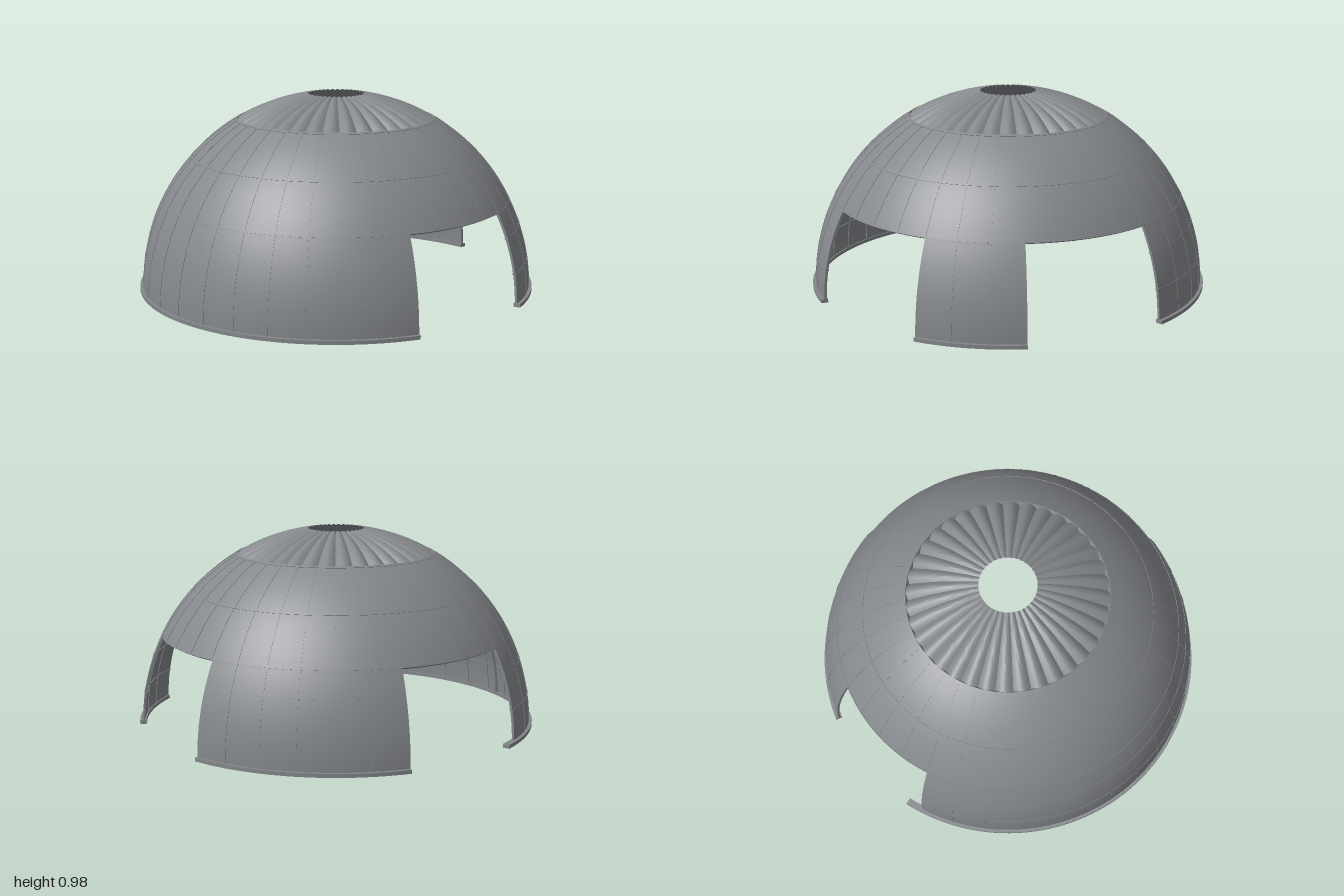
import * as THREE from 'three';
import { toCreasedNormals } from 'three/addons/utils/BufferGeometryUtils.js';

const R = 0.985, T = 0.012, D = Math.PI / 180;
const grey = new THREE.MeshStandardMaterial({ color: 0x84878b, side: THREE.DoubleSide });
grey.name = 'dome grey';

// Points along the dome curve between two heights
function arc(radius, y0, y1, n) {
  const t0 = Math.asin(y0 / R), t1 = Math.asin(y1 / R);
  return Array.from({ length: n + 1 }, (_, i) => {
    const t = t0 + (t1 - t0) * i / n;
    return new THREE.Vector2(radius * Math.cos(t), radius * Math.sin(t));
  });
}

// Closed section of a shell: up the outside, down the inside
const section = (rOut, rIn, y0, y1, n) => [...arc(rOut, y0, y1, n), ...arc(rIn, y0, y1, n).reverse()];

const box = (r0, r1, y0, y1) =>
  [[r1, y0], [r1, y1], [r0, y1], [r0, y0]].map(p => new THREE.Vector2(...p));

// Sweep a closed section from angle a0 to a1 (degrees from +x toward +z)
function sweep(group, name, pts, a0, a1) {
  const part = new THREE.Group();
  part.name = name;
  const steps = Math.max(1, Math.round((a1 - a0) / 2.5));
  const g = new THREE.LatheGeometry([...pts, pts[0]], steps, (90 - a1) * D, (a1 - a0) * D);
  part.add(new THREE.Mesh(toCreasedNormals(g, 0.6), grey));
  if (a1 - a0 < 360) {
    for (const a of [a0, a1]) {
      const end = new THREE.Mesh(new THREE.ShapeGeometry(new THREE.Shape(pts)), grey);
      end.rotation.y = -a * D;
      part.add(end);
    }
  }
  part.children.forEach(m => { m.name = name; });
  group.add(part);
}

// Fluted crown with a round opening
function crown() {
  const flutes = 36;
  const g = new THREE.LatheGeometry(arc(R, 0.85, 0.975, 12), flutes * 8);
  const p = g.attributes.position, v = new THREE.Vector3();
  for (let i = 0; i < p.count; i++) {
    v.fromBufferAttribute(p, i);
    const a = Math.atan2(v.z, v.x), r = Math.hypot(v.x, v.z);
    const dip = 0.042 * r * (1 - Math.abs(Math.sin(a * flutes / 2)));
    v.setLength(R - dip);
    p.setXYZ(i, v.x, v.y, v.z);
  }
  const m = new THREE.Mesh(toCreasedNormals(g, 0.6), grey);
  m.name = 'flutedCrown';
  return m;
}

export function createModel() {
  const model = new THREE.Group();
  model.name = 'dome';

  // Upper shell, unbroken all round
  sweep(model, 'upperShell', section(R, R - T, 0.45, 0.85, 16), 0, 360);
  model.add(crown());

  // Lower walls with three openings between them
  const walls = [[40, 190, 195], [230, 289.5, 289.5], [330, 360, 360]];
  for (const [a0, a1, railEnd] of walls) {
    sweep(model, 'lowerWall', section(R, R - T, 0.015, 0.45, 16), a0, a1);
    sweep(model, 'baseRail', box(0.966, 1, 0, 0.018), a0, railEnd);
    // Horizontal ridges
    for (const y of [0.165, 0.335])
      sweep(model, 'wallRidge', section(R + 0.002, R - T - 0.004, y - 0.003, y + 0.003, 1), a0, a1);
  }

  // Ring ridges of the upper shell, with deeper hoops inside
  for (const [y, depth] of [[0.453, 0.008], [0.67, 0.008], [0.85, 0.014]])
    sweep(model, 'ringRidge', section(R + 0.002, R - T - depth, y - 0.003, y + 0.003, 1), 0, 360);

  // Vertical ridges every ten degrees
  const rib = (name, a, w, y0, y1, out, depth) =>
    sweep(model, name, section(R + out, R - T - depth, y0, y1, 16), a - w, a + w);
  for (let a = 0; a < 360; a += 10) {
    rib('upperRidge', a, 0.17, 0.45, 0.85, 0.002, 0.004);
    if (walls.some(([a0, a1]) => a > a0 + 1 && a < a1 - 1))
      rib('lowerRidge', a, 0.17, 0.018, 0.45, 0.002, 0.004);
  }

  // Inner ribs on the diagonals
  for (const a of [45, 135, 225, 315])
    rib('innerRib', a, 0.4, a === 135 ? 0.018 : 0.45, 0.85, -T, 0.012);

  return model;
}
